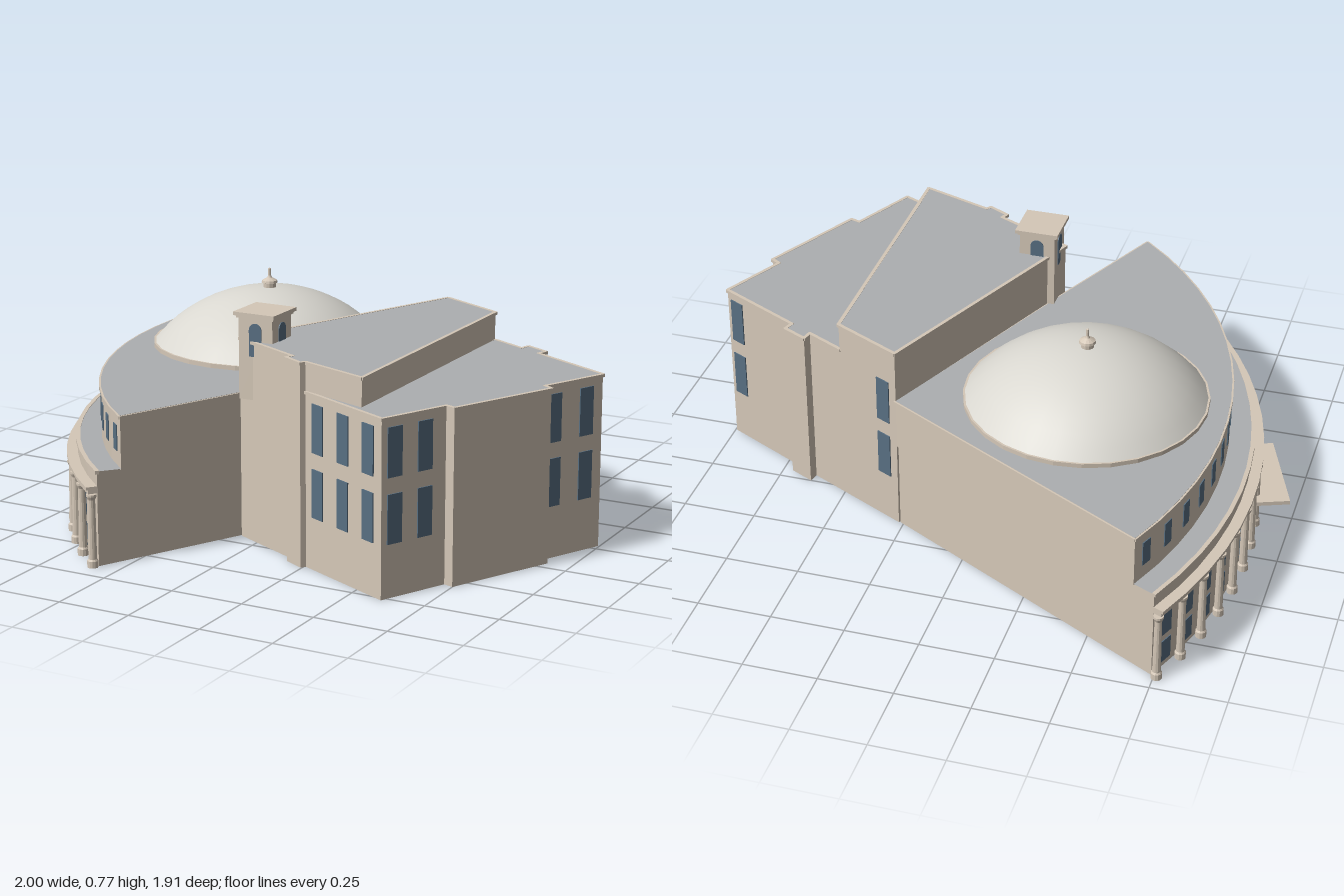
import * as THREE from 'three';

const mat = (color, extra = {}) => new THREE.MeshStandardMaterial({ color, ...extra });
const STONE = mat(0xd5c8b8, { side: THREE.DoubleSide, flatShading: true });
const ROOF = mat(0xadafb1, { side: THREE.DoubleSide });
const GLASS = mat(0x586f82);
const DOME = mat(0xd9d7d0, { side: THREE.DoubleSide });

// The curved front is an arc about one centre, split into equal bays
const CX = 0.70, CZ = -0.29, BAYS = 16;
const A0 = -24.2 * Math.PI / 180, A1 = 49.5 * Math.PI / 180;
const angle = i => A0 + (A1 - A0) * i / BAYS;
const onArc = (r, i) => [CX - r * Math.cos(angle(i)), CZ + r * Math.sin(angle(i))];
const arc = r => Array.from({ length: BAYS + 1 }, (_, i) => onArc(r, i));

export function createModel() {
  const model = new THREE.Group();

  function add(name, geometry, material, x = 0, y = 0, z = 0, parent = model) {
    const mesh = new THREE.Mesh(geometry, material);
    mesh.name = name;
    mesh.position.set(x, y, z);
    parent.add(mesh);
    return mesh;
  }

  // Plan shape from [x, z] points
  const plan = pts => new THREE.Shape(pts.map(([x, z]) => new THREE.Vector2(x, -z)));

  // Closed ring of upright walls over a plan outline
  function walls(name, pts, y0, y1) {
    const pos = [];
    pts.forEach(([ax, az], i) => {
      const [bx, bz] = pts[(i + 1) % pts.length];
      pos.push(ax, y0, az, ax, y1, az, bx, y1, bz, ax, y0, az, bx, y1, bz, bx, y0, bz);
    });
    const g = new THREE.BufferGeometry();
    g.setAttribute('position', new THREE.Float32BufferAttribute(pos, 3));
    g.computeVertexNormals();
    add(name, g, STONE);
  }

  function roof(name, pts, y) {
    add(name, new THREE.ShapeGeometry(plan(pts)).rotateX(-Math.PI / 2), ROOF, 0, y);
  }

  function slab(name, pts, y, height) {
    const g = new THREE.ExtrudeGeometry(plan(pts), { depth: height, bevelEnabled: false });
    add(name, g.rotateX(-Math.PI / 2), STONE, 0, y);
  }

  // Thin projecting strip along each edge of an outline
  function coping(name, pts, y) {
    const group = new THREE.Group();
    group.name = name;
    pts.forEach(([ax, az], i) => {
      const [bx, bz] = pts[(i + 1) % pts.length];
      const length = Math.hypot(bx - ax, bz - az);
      add(name + 'Strip', new THREE.BoxGeometry(length + 0.006, 0.01, 0.012), STONE,
        (ax + bx) / 2, y - 0.004, (az + bz) / 2, group)
        .rotation.y = -Math.atan2(bz - az, bx - ax);
    });
    model.add(group);
  }

  // Pane with its foot at y = 0, facing +z
  function pane(w, h, arched) {
    const s = new THREE.Shape();
    const top = arched ? h - w / 2 : h;
    s.moveTo(-w / 2, 0).lineTo(w / 2, 0).lineTo(w / 2, top);
    if (arched) s.absarc(0, top, w / 2, 0, Math.PI, false);
    else s.lineTo(-w / 2, top);
    return new THREE.ExtrudeGeometry(s, { depth: 0.006, bevelEnabled: false, curveSegments: 8 });
  }
  const place = (name, g, x, y, z, nx, nz) => {
    add(name, g, GLASS, x, y, z).rotation.y = Math.atan2(nx, nz);
  };

  // Foyer behind the colonnade
  const foyer = [...arc(1.58), [-0.08, 0.417], [0.262, -0.394]];
  walls('foyerWalls', foyer, 0, 0.315);
  roof('foyerRoof', [...arc(1.58), ...arc(1.5).reverse()], 0.315);
  slab('foyerCornice', [...arc(1.586), ...arc(1.572).reverse()], 0.305, 0.012);
  slab('entablature', [...arc(1.61), ...arc(1.578).reverse()], 0.242, 0.014);
  slab('entablatureCornice', [...arc(1.617), ...arc(1.578).reverse()], 0.256, 0.01);

  // Columns
  const columnProfile = [[0, 0], [0.018, 0], [0.018, 0.022], [0.014, 0.028], [0.012, 0.225],
    [0.017, 0.236], [0.017, 0.243], [0, 0.243]].map(p => new THREE.Vector2(...p));
  const column = new THREE.LatheGeometry(columnProfile, 12);
  for (let i = 0; i <= BAYS; i++) {
    const [x, z] = onArc(1.6, i);
    add('column', column, STONE, x, 0, z);
  }

  // Windows in every bay of the curved front
  const archPane = pane(0.066, 0.105, true);
  const lowPane = pane(0.066, 0.08);
  const upperPane = pane(0.04, 0.085);
  for (let i = 0.5; i < BAYS; i++) {
    const nx = -Math.cos(angle(i)), nz = Math.sin(angle(i));
    const [x, z] = onArc(1.576, i), [ux, uz] = onArc(1.496, i);
    place('archedWindow', archPane, x, 0.125, z, nx, nz);
    place('groundWindow', lowPane, x, 0.02, z, nx, nz);
    place('auditoriumWindow', upperPane, ux, 0.363, uz, nx, nz);
  }

  // Entrance canopy
  add('canopy', new THREE.BoxGeometry(0.13, 0.014, 0.343), STONE, -0.88, 0.118, 0.062)
    .rotation.y = 0.368;

  // Auditorium
  const hall = [...arc(1.5), [-0.08, 0.417], [0.267, -0.396]];
  walls('auditoriumWalls', hall, 0.31, 0.49);
  roof('auditoriumRoof', hall, 0.49);
  coping('auditoriumCoping', hall, 0.488);

  // Dome with rim and finial
  const dome = new THREE.Group();
  dome.name = 'dome';
  dome.position.set(-0.326, 0.49, -0.198);
  model.add(dome);
  const rise = 0.185, span = 0.4, R = (span * span + rise * rise) / (2 * rise);
  const cap = Array.from({ length: 11 }, (_, i) => {
    const a = Math.asin(span / R) * (1 - i / 10);
    return new THREE.Vector2(R * Math.sin(a), rise - R + R * Math.cos(a));
  });
  add('domeShell', new THREE.LatheGeometry(cap, 28), DOME, 0, 0.014, 0, dome);
  add('domeRim', new THREE.CylinderGeometry(0.406, 0.406, 0.015, 28, 1, true), STONE, 0, 0.0075, 0, dome);
  add('domeRimTop', new THREE.RingGeometry(0.396, 0.406, 28).rotateX(-Math.PI / 2), STONE, 0, 0.015, 0, dome);
  const finial = [[0.022, 0], [0.022, 0.018], [0.028, 0.02], [0.026, 0.028], [0.008, 0.038],
    [0.005, 0.045], [0.005, 0.07], [0, 0.072]].map(p => new THREE.Vector2(...p));
  add('finial', new THREE.LatheGeometry(finial, 12), STONE, 0, 0.194, 0, dome);

  // Wing outline, with shallow pilasters and a raised centre on the side
  const backEnd = [0.267, -0.396], eastCorner = [0.995, -0.03], southCorner = [0.61, 0.77];
  const panel = [[0.89, 0.19], [0.92, 0.208], [0.75, 0.556], [0.717, 0.545]];
  const frontPilaster = [[0.257, 0.604], [0.246, 0.62], [0.176, 0.583], [0.187, 0.56]];
  const backPilaster = [[0.628, -0.215], [0.636, -0.25], [0.717, -0.21], [0.706, -0.176]];
  const inner = [-0.08, 0.43];
  walls('wingWalls', [backEnd, ...backPilaster, eastCorner, ...panel, southCorner,
    ...frontPilaster, inner], 0, 0.58);
  const terrace = [[0.5, -0.279], ...backPilaster, eastCorner, ...panel, southCorner,
    frontPilaster[0], [0.5, 0.69]];
  roof('wingRoof', terrace, 0.58);
  coping('wingCoping', terrace.slice(0, -1), 0.58);

  // Raised stage block
  const stage = [backEnd, [0.5, -0.279], [0.5, 0.69], ...frontPilaster, inner];
  walls('stageWalls', stage, 0.575, 0.675);
  roof('stageRoof', stage, 0.675);
  coping('stageCoping', stage, 0.675);

  // Two storeys of tall wing windows, at fractions t along each wall
  const tallPane = pane(0.056, 0.16);
  const runs = [
    [backEnd, eastCorner, [0.072, 0.945]],
    [eastCorner, panel[0], [0.28, 0.83]],
    [panel[3], southCorner, [0.33, 0.80]],
    [southCorner, frontPilaster[0], [0.17, 0.50, 0.835]],
  ];
  for (const [a, b, ts] of runs) {
    const dx = b[0] - a[0], dz = b[1] - a[1], len = Math.hypot(dx, dz);
    for (const t of ts) for (const y of [0.175, 0.388])
      place('wingWindow', tallPane, a[0] + dx * t - dz / len * 0.002, y,
        a[1] + dz * t + dx / len * 0.002, dz, -dx);
  }

  // Bell tower at the inner corner
  const tx = -0.004, tz = 0.4;
  add('tower', new THREE.BoxGeometry(0.124, 0.275, 0.124), STONE, tx, 0.6175, tz);
  add('towerMoulding', new THREE.BoxGeometry(0.136, 0.008, 0.136), STONE, tx, 0.754, tz);
  add('towerCap', new THREE.BoxGeometry(0.15, 0.012, 0.15), STONE, tx, 0.764, tz);
  const towerPane = pane(0.046, 0.11, true);
  for (const [nx, nz] of [[1, 0], [-1, 0], [0, 1], [0, -1]])
    place('towerWindow', towerPane, tx + nx * 0.059, 0.625, tz + nz * 0.059, nx, nz);

  return model;
}
